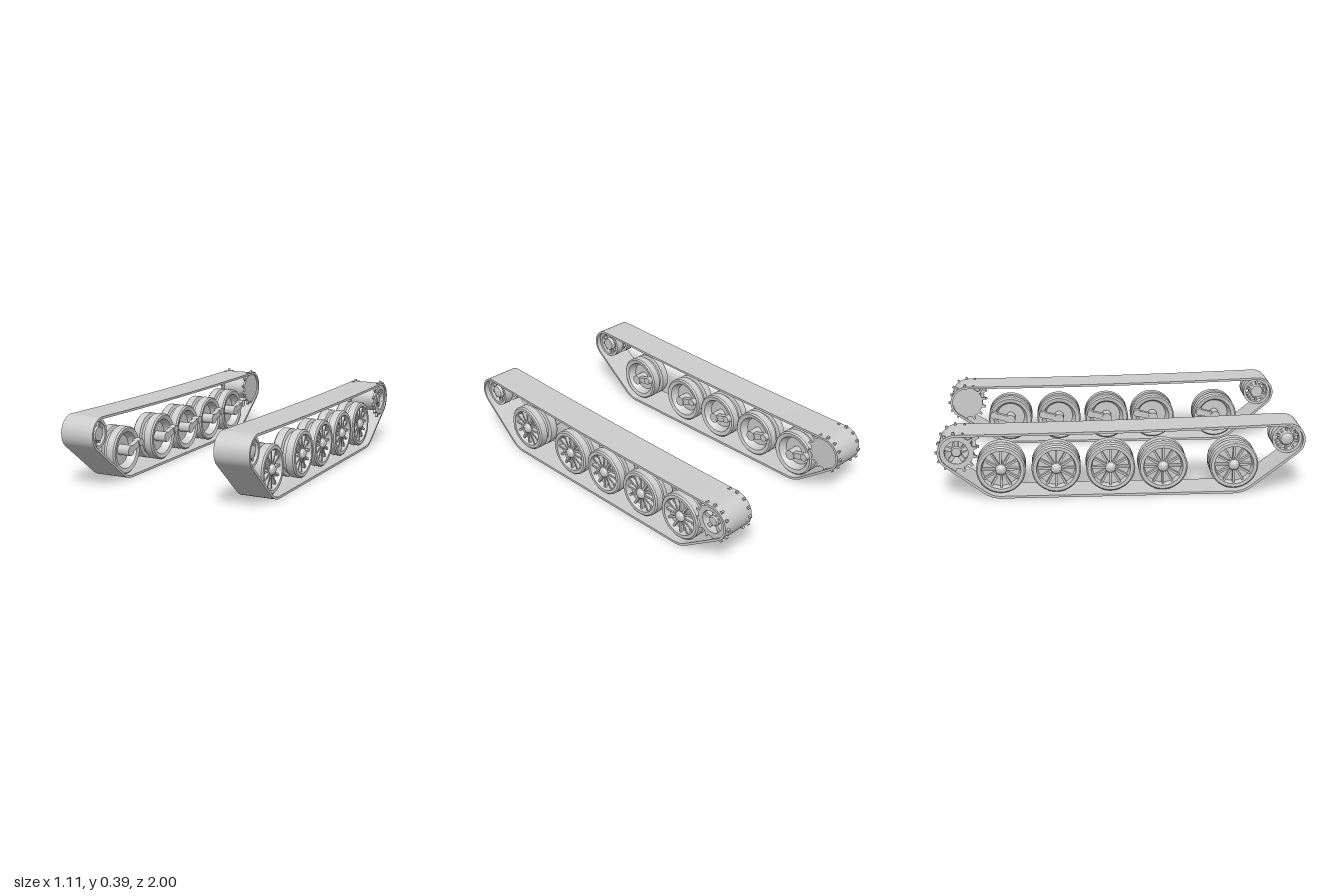
import * as THREE from 'three';
import { mergeGeometries, toCreasedNormals } from 'three/addons/utils/BufferGeometryUtils.js';

const steel = new THREE.MeshStandardMaterial({ color: 0xcccccc });
steel.name = 'grey steel';

const V = (x, y) => new THREE.Vector2(x, y);

// Solid of revolution about the x axis; profile pairs are [radius, x]
function turned(profile, segments = 40) {
  const g = new THREE.LatheGeometry(profile.map(([r, x]) => V(r, x)), segments);
  return toCreasedNormals(g.rotateZ(-Math.PI / 2), 0.5);
}

// Side outline (u = -z, v = y) extruded from x0 to x1
function plate(shape, x0, x1) {
  const g = new THREE.ExtrudeGeometry(shape, { depth: x1 - x0, bevelEnabled: false, curveSegments: 24 });
  return toCreasedNormals(g.rotateY(Math.PI / 2).translate(x0, 0, 0), 0.45);
}

// Radial bars around the x axis
function spokes(count, r0, r1, width, x0, x1) {
  const bars = [];
  for (let i = 0; i < count; i++) {
    const b = new THREE.BoxGeometry(x1 - x0, r1 - r0, width);
    b.translate((x0 + x1) / 2, (r0 + r1) / 2, 0).rotateX((i / count) * Math.PI * 2);
    bars.push(b);
  }
  return mergeGeometries(bars);
}

// Mirror a geometry in x and restore its winding
function mirrored(source) {
  const g = source.index ? source.toNonIndexed() : source.clone();
  g.scale(-1, 1, 1);
  for (const a of Object.values(g.attributes)) {
    const n = a.itemSize;
    for (let i = 0; i < a.count; i += 3) {
      for (let k = 0; k < n; k++) {
        const p = (i + 1) * n + k, q = (i + 2) * n + k;
        [a.array[p], a.array[q]] = [a.array[q], a.array[p]];
      }
    }
  }
  return g;
}

// Closed belt line round a counter-clockwise list of circles [u, v, r]
function beltLine(circles, inset) {
  const n = circles.length;
  const phi = circles.map(([u, v, r], i) => {
    const [u2, v2, r2] = circles[(i + 1) % n];
    const d = Math.hypot(u2 - u, v2 - v);
    return Math.atan2(v2 - v, u2 - u) - Math.acos((r - r2) / d);
  });
  const pts = [];
  circles.forEach(([u, v, r], i) => {
    const a = phi[(i + n - 1) % n];
    let sweep = (phi[i] - a) % (Math.PI * 2);
    if (sweep < 0) sweep += Math.PI * 2;
    const steps = Math.max(6, Math.ceil(sweep / 0.13));
    for (let k = 0; k <= steps; k++) {
      const t = a + (sweep * k) / steps;
      pts.push(V(u + (r - inset) * Math.cos(t), v + (r - inset) * Math.sin(t)));
    }
  });
  // Slight sag along the top run
  const from = pts[pts.length - 1].clone(), to = pts[0].clone();
  for (let k = 1; k < 12; k++) {
    const t = k / 12, p = from.clone().lerp(to, t);
    p.y -= 0.008 * 4 * t * (1 - t);
    pts.push(p);
  }
  return pts;
}

// Toothed sprocket outline
function gearShape(teeth, root, tip, hole) {
  const pts = [], step = (Math.PI * 2) / teeth;
  for (let i = 0; i < teeth; i++) {
    for (const [f, r] of [[-0.5, root], [-0.2, root], [-0.09, tip], [0.09, tip], [0.2, root]]) {
      const a = (i + f) * step;
      pts.push(V(r * Math.cos(a), r * Math.sin(a)));
    }
  }
  const s = new THREE.Shape(pts);
  if (hole) s.holes.push(new THREE.Path().absarc(0, 0, hole, 0, Math.PI * 2, true));
  return s;
}

// Paired road wheel with dished faces and a groove between the rims
const roadWheel = {
  roadWheelRim: turned([[0, 0.435], [0.085, 0.435], [0.103, 0.392], [0.126, 0.387], [0.134, 0.395], [0.134, 0.44],
    [0.115, 0.446], [0.115, 0.464], [0.134, 0.47], [0.134, 0.512], [0.126, 0.52], [0.108, 0.52], [0.1, 0.487], [0, 0.487]], 48),
  roadWheelSpokes: spokes(12, 0.022, 0.104, 0.011, 0.48, 0.508),
  roadWheelHub: turned([[0, 0.47], [0.03, 0.47], [0.03, 0.512], [0.025, 0.522], [0.014, 0.529], [0, 0.531]], 24),
};

// Swing arm on the inner face of each road wheel
const swingArm = {
  armAxle: turned([[0, 0.362], [0.03, 0.362], [0.03, 0.44], [0, 0.44]], 20),
  armBar: new THREE.BoxGeometry(0.03, 0.036, 0.105).rotateX(0.27).translate(0.38, 0.015, -0.052),
  armPivot: turned([[0, 0.358], [0.022, 0.358], [0.022, 0.405], [0, 0.405]], 20).translate(0, 0.03, -0.1),
};

// Open spoked idler
const ring = (x0, x1) => turned([[0.066, x0], [0.082, x0], [0.082, x1], [0.066, x1], [0.066, x0]]);
const idler = {
  idlerOuterRim: ring(0.475, 0.525),
  idlerInnerRim: ring(0.385, 0.435),
  idlerOuterSpokes: spokes(10, 0.03, 0.07, 0.011, 0.49, 0.51),
  idlerInnerSpokes: spokes(10, 0.03, 0.07, 0.011, 0.4, 0.42),
  idlerHub: turned([[0, 0.38], [0.036, 0.38], [0.04, 0.39], [0.04, 0.515], [0.034, 0.526], [0.018, 0.533], [0, 0.535]], 28),
};

// Drive sprocket: open toothed ring outside, solid toothed disc inside
const sprocket = {
  sprocketOuterRing: plate(gearShape(13, 0.093, 0.115, 0.064), 0.532, 0.546),
  sprocketInnerDisc: plate(gearShape(13, 0.093, 0.115, 0), 0.368, 0.382),
  sprocketDrum: turned([[0.064, 0.38], [0.074, 0.38], [0.074, 0.534], [0.064, 0.534], [0.064, 0.38]]),
  sprocketSpokes: spokes(5, 0.015, 0.068, 0.022, 0.505, 0.53),
  sprocketHub: turned([[0, 0.38], [0.03, 0.38], [0.03, 0.53], [0.024, 0.538], [0, 0.54]], 24),
};

function buildTrack(side) {
  const track = new THREE.Group();
  track.name = side > 0 ? 'leftTrack' : 'rightTrack';
  const assembly = (name, parts, y, z) => {
    const group = new THREE.Group();
    group.name = name;
    group.position.set(0, y, z);
    for (const [part, geo] of Object.entries(parts)) {
      const mesh = new THREE.Mesh(side > 0 ? geo : mirrored(geo), steel);
      mesh.name = part;
      group.add(mesh);
    }
    track.add(group);
  };

  // Road wheels sit slightly further back on the right track
  const shift = side > 0 ? 0 : -0.026;
  const wheelZ = [0.647, 0.257, -0.03, -0.326, -0.626].map((z) => z + shift);
  wheelZ.forEach((z, i) => {
    assembly('roadWheel' + (i + 1), roadWheel, 0.15, z);
    assembly('swingArm' + (i + 1), swingArm, 0.15, z);
  });
  assembly('idler', idler, 0.3, 0.905);
  assembly('sprocket', sprocket, 0.265, -0.885);

  // Continuous track band
  const circles = [[-0.905, 0.3, 0.095], [-wheelZ[0], 0.15, 0.15], [-wheelZ[4], 0.15, 0.15], [0.885, 0.265, 0.102]];
  const band = new THREE.Shape(beltLine(circles, 0));
  band.holes.push(new THREE.Path(beltLine(circles, 0.013).reverse()));
  assembly('band', { trackBand: plate(band, 0.357, 0.555) }, 0, 0);
  return track;
}

export function createModel() {
  const model = new THREE.Group();
  model.name = 'trackedRunningGear';
  model.add(buildTrack(1), buildTrack(-1));
  return model;
}
